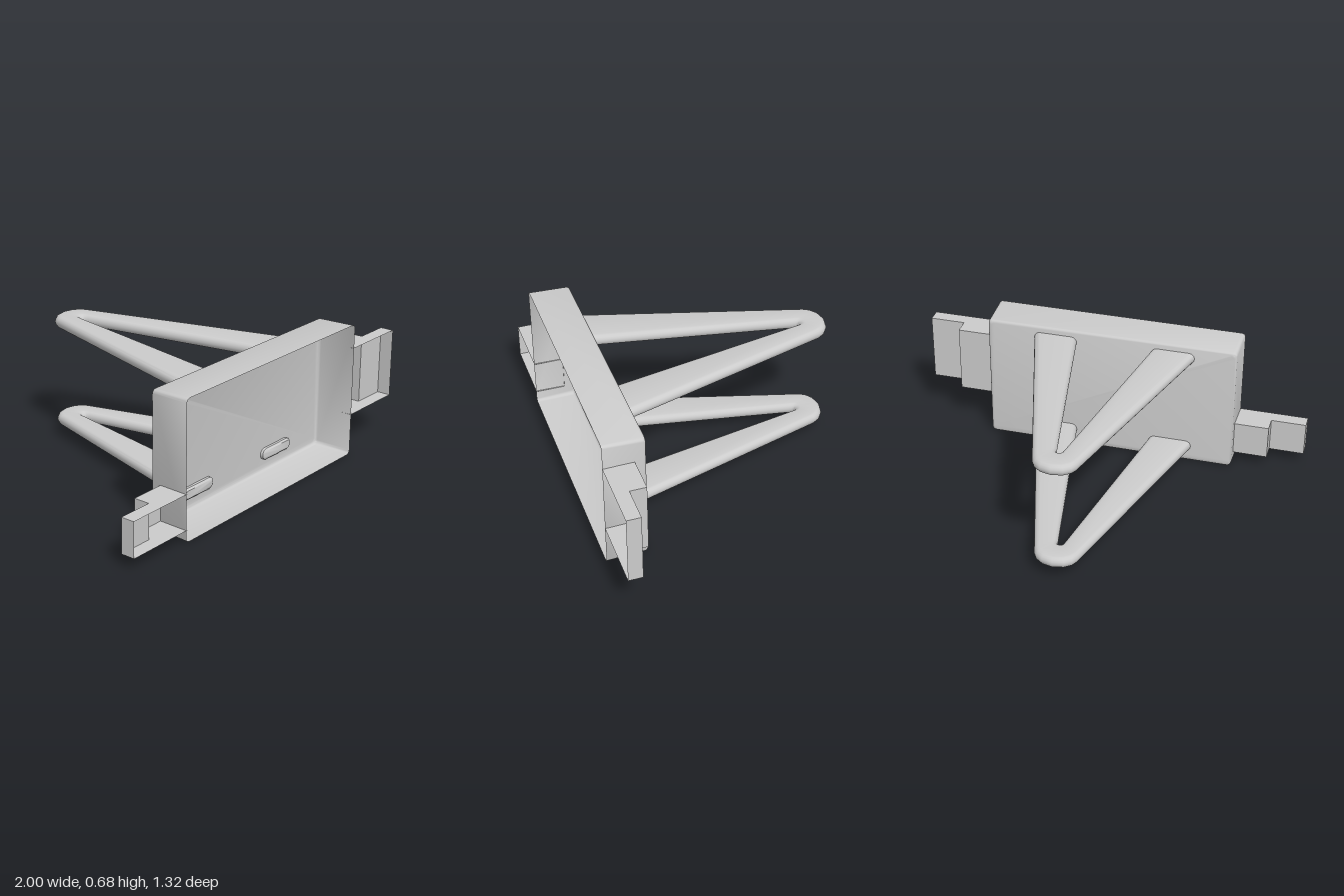
import * as THREE from 'three';
import { toCreasedNormals } from 'three/addons/utils/BufferGeometryUtils.js';

const material = new THREE.MeshStandardMaterial({ color: 0xcccccc, side: THREE.DoubleSide });
const FRONT = 0.66;

// Skin a list of equal-length sections; optionally close the loops and cap the ends.
function loft(sections, { closed = true, capStart = false, capEnd = false, crease = 0.6 } = {}) {
  const n = sections[0].length;
  const positions = sections.flat().flatMap((p) => [p.x, p.y, p.z]);
  const index = [];
  for (let i = 0; i < sections.length - 1; i++) {
    for (let j = 0; j < (closed ? n : n - 1); j++) {
      const a = i * n + j, b = i * n + ((j + 1) % n);
      index.push(a, b, b + n, a, b + n, a + n);
    }
  }
  const cap = (start, flip) => {
    for (let j = 1; j < n - 1; j++) {
      index.push(start, start + (flip ? j + 1 : j), start + (flip ? j : j + 1));
    }
  };
  if (capStart) cap(0, true);
  if (capEnd) cap((sections.length - 1) * n, false);
  const geometry = new THREE.BufferGeometry();
  geometry.setAttribute('position', new THREE.Float32BufferAttribute(positions, 3));
  geometry.setIndex(index);
  return toCreasedNormals(geometry, crease);
}

function addMesh(parent, name, geometry) {
  const mesh = new THREE.Mesh(geometry, material);
  mesh.name = name;
  parent.add(mesh);
  return mesh;
}

// Rounded rectangle at depth z, clockwise from the front so the loft faces outward.
function roundedLoop(z, inset) {
  const r = 0.02, points = [];
  const x0 = -0.65 + inset, x1 = 0.645 - inset, y0 = inset, y1 = 0.68 - inset;
  const corners = [[x1 - r, y1 - r], [x0 + r, y1 - r], [x0 + r, y0 + r], [x1 - r, y0 + r]];
  corners.forEach(([cx, cy], k) => {
    for (let i = 0; i <= 4; i++) {
      const a = (k + i / 4) * Math.PI / 2;
      points.push(new THREE.Vector3(cx + r * Math.cos(a), cy + r * Math.sin(a), z));
    }
  });
  return points.reverse();
}

// Open-fronted tray with softened back edges.
function trayGeometry() {
  const loops = [roundedLoop(FRONT, 0)];
  const r = 0.015;
  for (let i = 0; i <= 4; i++) {
    const a = (i / 4) * Math.PI / 2;
    loops.push(roundedLoop(0.455 + r * (1 - Math.sin(a)), 0.004 + r * (1 - Math.cos(a))));
  }
  return loft(loops, { capEnd: true });
}

// Stadium section spanning the inner and outer edge of a leg.
function legSection(inner, outer, radius) {
  const across = new THREE.Vector2().subVectors(outer, inner).normalize();
  const points = [];
  [[outer, 1], [inner, -1]].forEach(([edge, side]) => {
    for (let i = 0; i <= 8; i++) {
      const a = -Math.PI / 2 + (i / 8) * Math.PI;
      const d = radius * (Math.cos(a) - 1) * side;
      points.push(new THREE.Vector3(edge.x + across.x * d, radius * Math.sin(a) * side, edge.y + across.y * d));
    }
  });
  return points;
}

// V-shaped bracket: tapering legs joined by a rounded tip.
function bracketGeometry() {
  // [inner x, inner z, outer x, outer z, edge radius] for one half
  const half = [
    [0.208, 0.476, 0.408, 0.476, 0.02],
    [0.195, 0.468, 0.418, 0.468, 0.029],
    [0.017, -0.5, 0.105, -0.6, 0.029],
    [0.014, -0.52, 0.088, -0.628, 0.029],
    [0.008, -0.528, 0.055, -0.652, 0.029],
    [0, -0.53, 0, -0.664, 0.029],
  ];
  const build = ([ix, iz, ox, oz, r], s) =>
    legSection(new THREE.Vector2(ix * s, iz), new THREE.Vector2(ox * s, oz), r);
  const sections = [
    ...half.map((row) => build(row, 1)),
    ...half.slice(0, -1).reverse().map((row) => build(row, -1)),
  ];
  return loft(sections, { capStart: true, capEnd: true, crease: 0.7 });
}

// Stepped side tab: thin walls, open at the front.
function sideTab(name, side, y0, y1) {
  const tab = new THREE.Group();
  tab.name = name;
  const path = [[0.643, 0.51], [0.822, 0.51], [0.822, 0.59], [1, 0.59], [1, FRONT]]
    .map(([x, z]) => new THREE.Vector2(x * side, z));
  const wall = [y0, y1].map((y) => path.map((p) => new THREE.Vector3(p.x, y, p.y)));
  addMesh(tab, 'tabWall', loft(side > 0 ? wall.reverse() : wall, { closed: false, crease: 0.3 }));
  const outline = new THREE.Shape([...path, new THREE.Vector2(0.643 * side, FRONT)]);
  for (const [label, y] of [['tabFloor', y0], ['tabTop', y1]]) {
    const plate = addMesh(tab, label, new THREE.ShapeGeometry(outline).rotateX(Math.PI / 2));
    plate.position.y = y;
  }
  return tab;
}

export function createModel() {
  const model = new THREE.Group();
  model.name = 'wallBracket';
  addMesh(model, 'tray', trayGeometry());

  // Upper and lower V brackets
  for (const [name, y] of [['lowerBracket', 0.092], ['upperBracket', 0.615]]) {
    addMesh(model, name, bracketGeometry()).position.set(-0.02, y, 0);
  }

  // Large tab on the left, small tab on the right
  model.add(sideTab('leftTab', 1, 0.21, 0.558));
  model.add(sideTab('rightTab', -1, 0.06, 0.234));
  return model;
}
